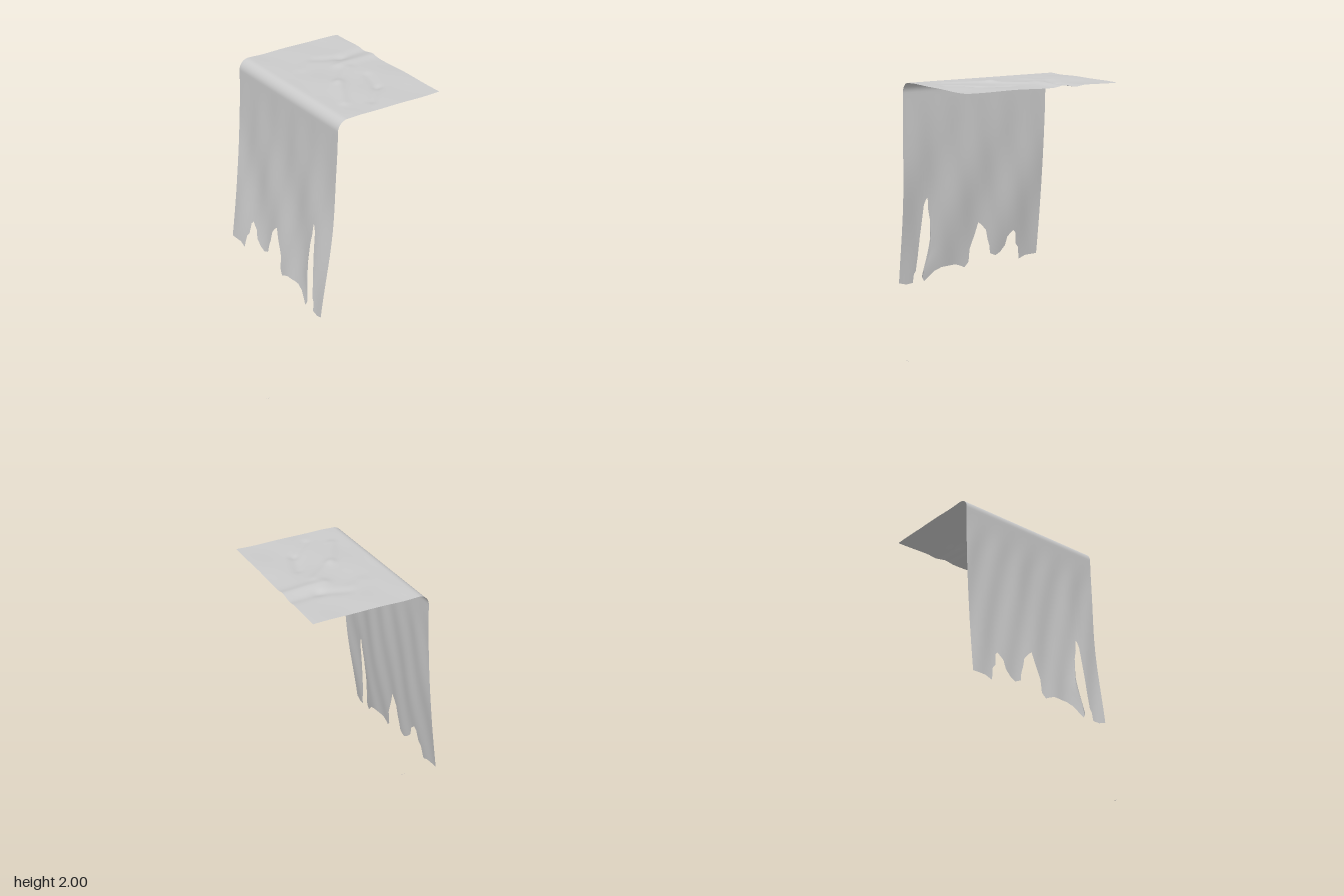
import * as THREE from 'three';

// Torn hem of the hanging side as [z, y], walked from front to back
const HEM = [
  [0.54, 0.65], [0.49, 0.635], [0.44, 0.64], [0.435, 0.7], [0.42, 0.72], [0.41, 0.82], [0.4, 0.95],
  [0.39, 1.05], [0.38, 1.17], [0.365, 1.21], [0.355, 1.215], [0.35, 1.14], [0.335, 1.07], [0.33, 0.98],
  [0.325, 0.87], [0.32, 0.67], [0.305, 0.64], [0.285, 0.67], [0.265, 0.705], [0.23, 0.725], [0.12, 0.725],
  [0.08, 0.71], [0.05, 0.695], [0.022, 0.73], [0.018, 0.82], [0, 0.87], [-0.02, 0.92], [-0.045, 1],
  [-0.07, 0.98], [-0.105, 0.94], [-0.12, 0.87], [-0.135, 0.83], [-0.145, 0.77], [-0.19, 0.75], [-0.23, 0.77],
  [-0.27, 0.81], [-0.285, 0.87], [-0.33, 0.91], [-0.35, 0.89], [-0.36, 0.81], [-0.385, 0.78], [-0.4, 0.69],
  [-0.45, 0.71], [-0.55, 0.71],
];

// Soft folds on the flat top: [x0, z0, x1, z1, width, height]
const FOLDS = [
  [0.0, 0.35, 0.14, 0.1, 0.035, 0.008], [0.14, 0.1, 0.32, -0.05, 0.035, 0.007],
  [0.15, 0.43, 0.3, 0.28, 0.03, -0.007], [0.3, 0.28, 0.36, 0.1, 0.03, -0.006],
  [0.22, -0.28, 0.38, -0.22, 0.04, -0.008], [0.38, -0.22, 0.6, -0.24, 0.04, -0.008],
  [0.3, -0.12, 0.6, -0.14, 0.04, 0.009], [0.08, -0.2, 0.2, -0.27, 0.05, 0.005],
];

const { smoothstep, lerp, clamp } = THREE.MathUtils;
const bell = (d, w) => Math.exp(-((d / w) ** 2));

function topRipple(x, z) {
  let h = 0.002 * Math.sin(9 * x + 14 * z) + 0.0015 * Math.sin(17 * x - 8 * z + 1);
  for (const [x0, z0, x1, z1, w, height] of FOLDS) {
    const dx = x1 - x0, dz = z1 - z0;
    const t = clamp(((x - x0) * dx + (z - z0) * dz) / (dx * dx + dz * dz), 0, 1);
    h += height * bell(Math.hypot(x - x0 - dx * t, z - z0 - dz * t), w);
  }
  return h * smoothstep(x, -0.12, 0);
}

// Sideways position of the hanging side: it swings out toward the hem
function dropX(y, z) {
  const d = Math.max(0, 1.915 - y);
  const flare = (0.02 * (z / 0.55) ** 2 + 0.018 * bell(z - 0.36, 0.1)) * (d / 1.25) ** 2;
  const wave = 0.006 * smoothstep(d, 0, 0.8) * Math.sin(13 * z + 5 * y) +
    0.003 * smoothstep(d, 0, 0.3) * Math.sin(29 * z - 7 * y);
  return -0.18 - 0.01 * d - 0.043 * d * d - flare + wave;
}

const TOP_ROWS = 40, BEND_ROWS = 10, DROP_ROWS = 60;

function clothPoint(row, z, hemY) {
  const side = z / 0.55;
  if (row <= TOP_ROWS) { // flat top
    const x = lerp(0.578 - 0.007 * side, -0.11, row / TOP_ROWS);
    return [x, 1.985 + topRipple(x, z), z];
  }
  if (row <= TOP_ROWS + BEND_ROWS) { // rounded bend
    const a = ((row - TOP_ROWS) / BEND_ROWS) * Math.PI / 2;
    return [-0.11 - 0.07 * Math.sin(a), 1.915 + 0.07 * Math.cos(a), z];
  }
  // hanging side; one torn tongue curls over into the slit
  const y = lerp(1.915, hemY, (row - TOP_ROWS - BEND_ROWS) / DROP_ROWS);
  const curl = 0.052 * bell(z - 0.32, 0.06) * (1 - smoothstep(y, 0.67, 0.88));
  return [dropX(y, z), y, z + curl];
}

function clothGeometry() {
  // Columns: hem points plus even subdivisions between them
  const columns = [];
  HEM.forEach(([z, y], i) => {
    if (i === 0) return void columns.push([z, y]);
    const [pz, py] = HEM[i - 1];
    const n = Math.max(1, Math.ceil((pz - z) / 0.015));
    for (let k = 1; k <= n; k++) columns.push([lerp(pz, z, k / n), lerp(py, y, k / n)]);
  });
  const rows = TOP_ROWS + BEND_ROWS + DROP_ROWS + 1;
  const positions = [], index = [];
  columns.forEach(([z, hemY], j) => {
    for (let i = 0; i < rows; i++) {
      const p = clothPoint(i, z, hemY);
      // the front edge is a touch wider along the top
      if (z > 0) p[2] += 0.01 * (z / 0.54) ** 4 * smoothstep(p[1], 0.7, 1.9);
      positions.push(...p);
      if (j && i) {
        const d = j * rows + i, c = d - 1, b = d - rows, a = b - 1;
        index.push(a, c, b, b, c, d);
      }
    }
  });
  const geometry = new THREE.BufferGeometry();
  geometry.setAttribute('position', new THREE.Float32BufferAttribute(positions, 3));
  geometry.setIndex(index);
  geometry.computeVertexNormals();
  return geometry;
}

export function createModel() {
  const model = new THREE.Group();
  model.name = 'tornCloth';
  const material = new THREE.MeshStandardMaterial({ color: 0xcccccc, side: THREE.DoubleSide });

  const cloth = new THREE.Mesh(clothGeometry(), material);
  cloth.name = 'drapedCloth';
  model.add(cloth);

  // Tiny loose thread lying on the floor
  const thread = new THREE.Mesh(new THREE.BoxGeometry(0.037, 0.001, 0.001), material);
  thread.name = 'looseThread';
  thread.position.set(-0.562, 0.0005, 0.335);
  model.add(thread);

  return model;
}
